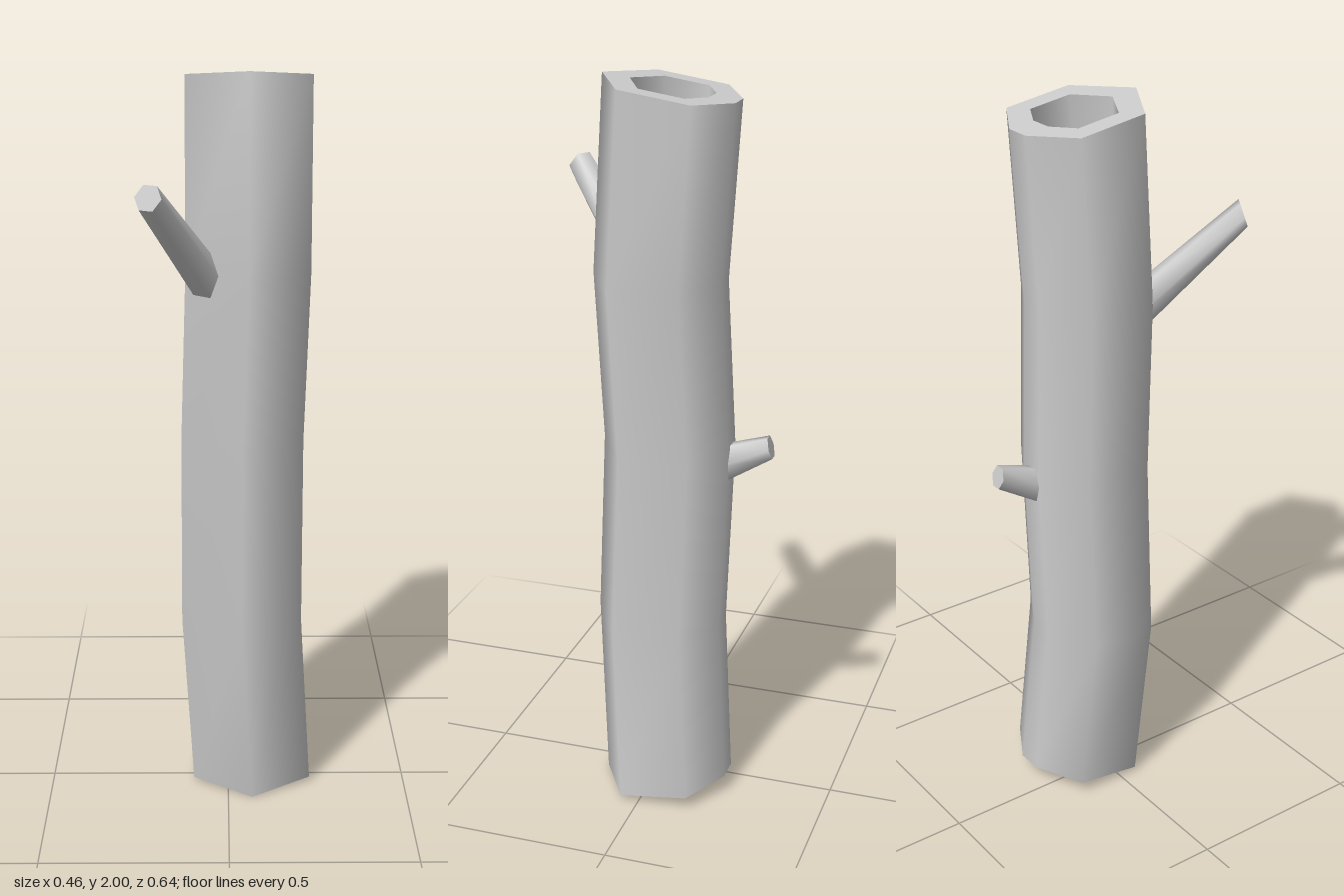
import * as THREE from 'three';

const material = new THREE.MeshStandardMaterial({ color: 0xcccccc });

// Skin between closed rings of points; normals are smooth within one skin
function loft(name, rings) {
  const n = rings[0].length;
  const index = [];
  for (let j = 0; j < rings.length - 1; j++) {
    for (let i = 0; i < n; i++) {
      const a = j * n + i, b = j * n + (i + 1) % n;
      index.push(a, b, b + n, a, b + n, a + n);
    }
  }
  const geometry = new THREE.BufferGeometry().setFromPoints(rings.flat());
  geometry.setIndex(index);
  geometry.computeVertexNormals();
  const mesh = new THREE.Mesh(geometry, material);
  mesh.name = name;
  return mesh;
}

// Seven-sided sections: x, z offsets starting at the front corner
const mirrored = (tip, half) => [
  [0, tip], ...half, ...half.slice().reverse().map(([x, z]) => [-x, z]),
];
const barkSection = mirrored(0.18, [[0.164, 0.085], [0.164, -0.105], [0.035, -0.18]]);
const hollowSection = mirrored(0.106, [[0.105, 0.049], [0.105, -0.072], [0.033, -0.111]]);

// Trunk levels: centre x, y, z and the slope of y along z
const levels = [
  [0.067, 0.026, -0.035, -0.14],
  [0.037, 0.51, -0.005, 0],
  [0.038, 1.02, -0.025, 0],
  [0.052, 1.48, -0.004, 0],
  [0.053, 1.973, -0.035, 0.15],
];
const trunkRings = (section) => levels.map(([cx, cy, cz, slope]) =>
  section.map(([x, z]) => new THREE.Vector3(cx + x, cy + slope * z, cz + z)));

// Tapered six-sided branch stub; each end is [centre, half width, half height]
function branch(name, base, tip, lean) {
  const dir = new THREE.Vector3(...tip[0]).sub(new THREE.Vector3(...base[0]));
  dir.setY(0).normalize();
  const right = new THREE.Vector3(0, 1, 0).cross(dir);
  const ring = ([centre, w, h], tilt) => {
    const up = new THREE.Vector3(0, 1, 0).addScaledVector(dir, -tilt);
    return Array.from({ length: 6 }, (_, i) => {
      const a = i * Math.PI / 3;
      return new THREE.Vector3(...centre)
        .addScaledVector(right, w * Math.cos(a))
        .addScaledVector(up, h * Math.sin(a) / Math.sin(Math.PI / 3));
    });
  };
  const end = ring(tip, lean);
  const group = new THREE.Group();
  group.name = name;
  group.add(
    loft(name + 'Side', [ring(base, 0), end]),
    loft(name + 'End', [end, end.map(() => new THREE.Vector3(...tip[0]))]),
  );
  return group;
}

export function createModel() {
  const model = new THREE.Group();
  model.name = 'hollowLog';

  // Hollow trunk with flat cut rims
  const outer = trunkRings(barkSection);
  const inner = trunkRings(hollowSection);
  const last = levels.length - 1;
  model.add(
    loft('bark', outer),
    loft('hollow', inner.slice().reverse()),
    loft('topRim', [outer[last], inner[last]]),
    loft('bottomRim', [inner[0], outer[0]]),
  );

  // Branch stubs
  model.add(
    branch('frontBranch', [[-0.053, 1.455, 0.08], 0.052, 0.062], [[-0.198, 1.708, 0.3], 0.041, 0.03], 0.35),
    branch('backBranch', [[0.037, 0.98, -0.19], 0.034, 0.05], [[0.036, 1.037, -0.312], 0.027, 0.028], 0.25),
  );
  return model;
}
